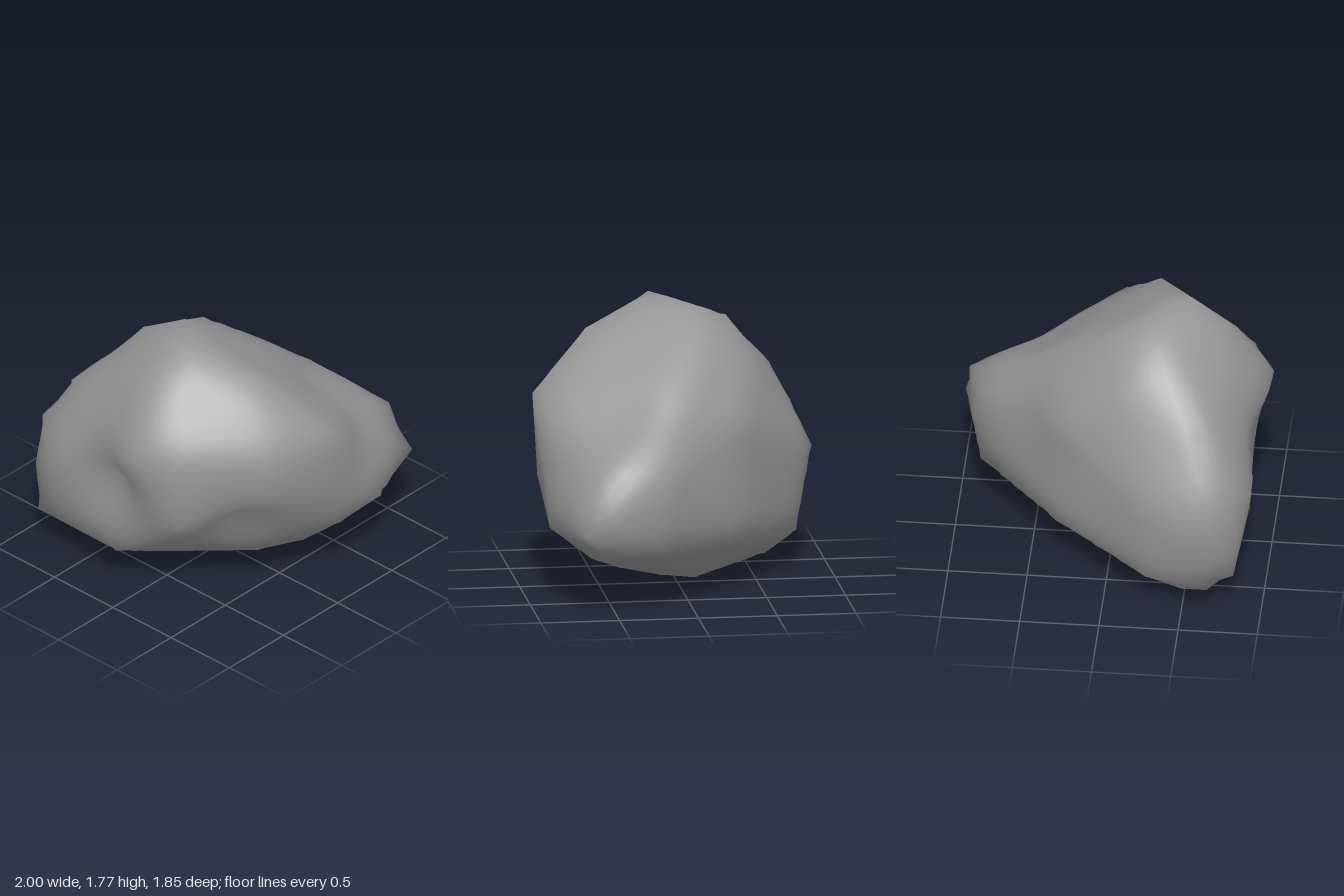
import * as THREE from 'three';
import { ConvexGeometry } from 'three/addons/geometries/ConvexGeometry.js';
import { mergeVertices } from 'three/addons/utils/BufferGeometryUtils.js';

const CENTRE = new THREE.Vector3(0, 0.85, 0);

// Corner points of the boulder, relative to its centre
const CORNERS = [
  // crown and ridge falling to the left tip
  [-0.49, 1.77, 0.12], [-0.35, 1.77, 0.03], [-0.2, 1.73, -0.13], [0, 1.64, -0.15], [0.12, 1.46, 0.3],
  [0.4, 1.34, 0], [0.63, 1.18, 0.2], [0.96, 0.84, 0.55], [1, 0.54, 0.71],
  [0.91, 0.65, 0.27], [0.85, 0.9, 0.17], [0.86, 0.38, 0.2],
  // front brow and toe
  [-0.71, 1.61, 0.08], [-0.75, 1.5, 0.22], [-0.25, 1.6, 0.55], [0, 1.25, 0.92], [-0.43, 1.2, 0.8],
  [-0.86, 1.22, 0.43], [-0.86, 0.72, 0.43], [-1, 1.21, 0.16], [-0.43, 0.88, 0.8], [0, 0.72, 0.89],
  [0.2, 0.44, 0.84], [0.53, 0.5, 0.885], [0.89, 0.38, 0.6],
  // underside
  [0.36, 0.19, 0.42], [0.15, 0.2, 0.56], [-0.08, 0.03, 0.1], [0.1, 0.05, -0.1], [-0.2, 0.27, 0.5],
  [-0.5, 0.45, 0.4], [-0.32, 0, -0.2], [-0.5, 0.05, -0.62], [-0.66, 0.17, -0.79], [-0.5, 0.17, -0.79],
  [-0.83, 0.3, -0.8], [-0.87, 0.32, -0.1], [-0.88, 0.53, 0.1],
  // back
  [-0.93, 0.8, -0.6], [-0.84, 0.65, -0.81], [-0.58, 0.72, -0.93], [-0.77, 0.97, -0.82],
  [-0.66, 1.25, -0.67], [-0.34, 1.64, -0.35], [-0.08, 1.42, -0.48], [-0.27, 0.8, -0.82],
  [-0.27, 0.25, -0.79], [0.3, 1.13, -0.4], [0.33, 0.35, -0.38],
].map(c => new THREE.Vector3(...c).sub(CENTRE));

// Shallow hollows: centre, radius, depth
const HOLLOWS = [
  { at: new THREE.Vector3(-0.95, 0.82, -0.14), radius: 0.24, depth: 0.15 },
  { at: new THREE.Vector3(-0.5, 0.68, 0.57), radius: 0.2, depth: 0.08 },
  { at: new THREE.Vector3(0.47, 0.85, 0.74), radius: 0.24, depth: 0.06 },
  { at: new THREE.Vector3(0.45, 1.13, 0.38), radius: 0.23, depth: 0.06 },
  { at: new THREE.Vector3(0.6, 1.02, -0.1), radius: 0.2, depth: 0.04 },
];

// Face planes of the convex block around the corners
function blockPlanes() {
  const p = new ConvexGeometry(CORNERS).attributes.position;
  const planes = [];
  for (let i = 0; i < p.count; i += 3) {
    const [a, b, c] = [0, 1, 2].map(k => new THREE.Vector3().fromBufferAttribute(p, i + k));
    const tri = new THREE.Triangle(a, b, c);
    if (tri.getArea() < 1e-5) continue;
    const n = tri.getNormal(new THREE.Vector3());
    planes.push({ n, d: n.dot(a) });
  }
  return planes;
}

const readVectors = attr =>
  Array.from({ length: attr.count }, (_, i) => new THREE.Vector3().fromBufferAttribute(attr, i));

// Blend normals of nearby points so the facets shade softly
function softenNormals(geometry, reach) {
  const { position, normal } = geometry.attributes;
  const points = readVectors(position), normals = readVectors(normal);
  points.forEach((p, i) => {
    const sum = new THREE.Vector3();
    points.forEach((q, j) => {
      const d2 = p.distanceToSquared(q) / (reach * reach);
      if (d2 < 5) sum.addScaledVector(normals[j], Math.exp(-d2));
    });
    sum.normalize();
    normal.setXYZ(i, sum.x, sum.y, sum.z);
  });
}

function boulderGeometry() {
  const sphere = new THREE.IcosahedronGeometry(1, 14);
  sphere.deleteAttribute('uv');
  sphere.deleteAttribute('normal');
  const geometry = mergeVertices(sphere, 1e-4);
  const pos = geometry.attributes.position;
  const directions = readVectors(pos);

  // turn the nearest sphere point towards each corner, so corners stay crisp
  for (const corner of CORNERS) {
    const target = corner.clone().normalize();
    const nearest = directions.reduce((best, d) => (d.dot(target) > best.dot(target) ? d : best));
    nearest.copy(target);
  }

  const planes = blockPlanes();
  directions.forEach((dir, i) => {
    // push each sphere point out to the block
    let r = Infinity;
    for (const { n, d } of planes) {
      const k = n.dot(dir);
      if (k > 1e-4) r = Math.min(r, d / k);
    }
    const v = CENTRE.clone().addScaledVector(dir, r);
    // press in the hollows
    let dent = 0;
    for (const { at, radius, depth } of HOLLOWS) {
      dent += depth * Math.exp(-v.distanceToSquared(at) / (radius * radius));
    }
    v.addScaledVector(dir, -dent);
    pos.setXYZ(i, v.x, v.y, v.z);
  });
  geometry.computeVertexNormals();
  softenNormals(geometry, 0.16);
  return geometry;
}

export function createModel() {
  const group = new THREE.Group();
  group.name = 'rock';
  const boulder = new THREE.Mesh(boulderGeometry(), new THREE.MeshStandardMaterial({ color: 0x969696 }));
  boulder.name = 'boulder';
  group.add(boulder);
  return group;
}
